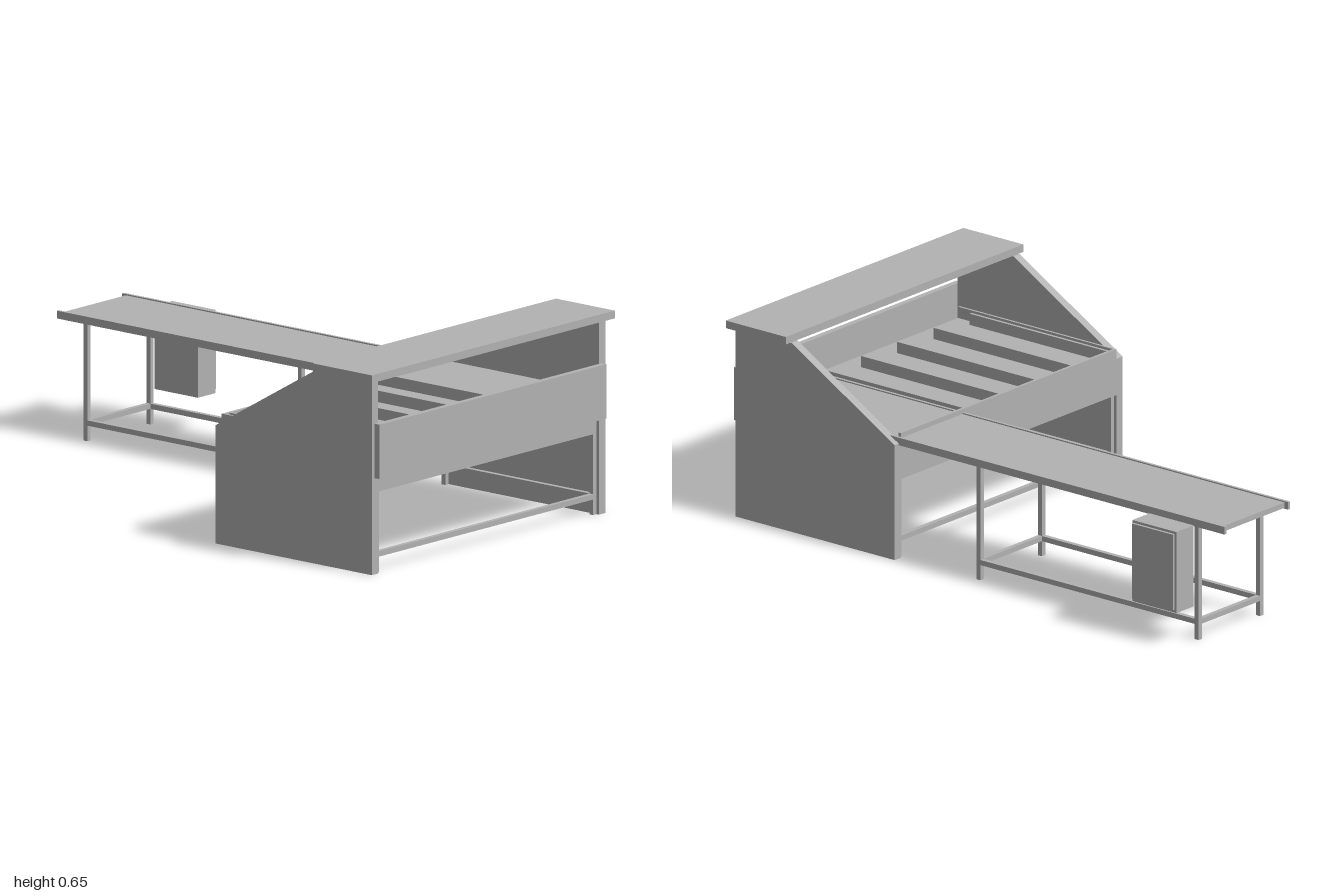
import * as THREE from 'three';

export function createModel() {
  const model = new THREE.Group();
  const grey = new THREE.MeshStandardMaterial({ color: 0xb2b2b2 });
  grey.name = 'paintedGrey';

  // Box given by its lower and upper limits on each axis
  function box(name, x0, x1, y0, y1, z0, z1, parent = model) {
    const mesh = new THREE.Mesh(new THREE.BoxGeometry(x1 - x0, y1 - y0, z1 - z0), grey);
    mesh.position.set((x0 + x1) / 2, (y0 + y1) / 2, (z0 + z1) / 2);
    mesh.name = name;
    parent.add(mesh);
  }

  // Four legs joined by a ring of low rails
  function legFrame(name, x0, x1, z0, z1, top) {
    const frame = new THREE.Group();
    frame.name = name;
    const t = 0.016;
    for (const x of [x0, x1 - t]) {
      for (const z of [z0, z1 - t]) box('leg', x, x + t, 0, top, z, z + t, frame);
      box('crossRail', x, x + t, 0.05, 0.067, z0 + t, z1 - t, frame);
    }
    for (const z of [z0, z1 - t]) box('longRail', x0 + t, x1 - t, 0.05, 0.067, z, z + t, frame);
    model.add(frame);
  }

  // Long conveyor: belt between two side rails
  box('conveyorBelt', -0.985, 0.96, 0.378, 0.396, -0.5, -0.2);
  for (const z of [-0.51, -0.2]) box('conveyorRail', -1, 0.96, 0.375, 0.4, z, z + 0.01);
  legFrame('conveyorFrame', -0.89, 0.016, -0.505, -0.19, 0.378);

  // Control cabinet with door
  box('cabinet', -0.875, -0.695, 0.11, 0.378, -0.595, -0.511);
  box('cabinetDoor', -0.868, -0.702, 0.12, 0.37, -0.604, -0.595);

  // Sloped side panels of the sorting station
  const side = new THREE.Shape();
  side.moveTo(0.33, 0);
  side.lineTo(0.98, 0);
  side.lineTo(0.98, 0.625);
  side.lineTo(0.75, 0.625);
  side.lineTo(0.33, 0.38);
  side.closePath();
  for (const z of [-0.53, 0.55]) {
    const panel = new THREE.Mesh(
      new THREE.ExtrudeGeometry(side, { depth: 0.03, bevelEnabled: false }), grey);
    panel.position.z = z;
    panel.name = 'sidePanel';
    model.add(panel);
  }

  // Top shelf and back board
  box('topShelf', 0.755, 1, 0.625, 0.65, -0.553, 0.603);
  box('backBoard', 0.98, 1, 0.31, 0.485, -0.512, 0.567);

  // Sorting tray with rim and dividers
  box('trayBed', 0.34, 0.97, 0.26, 0.375, -0.5, 0.55);
  box('trayFrontRim', 0.33, 0.34, 0.26, 0.412, -0.5, 0.55);
  box('traySideRim', 0.34, 0.97, 0.375, 0.412, 0.542, 0.55);
  for (let i = 0; i < 5; i++) {
    const z = -0.19 + i * 0.176;
    box('divider', 0.34, 0.9, 0.375, 0.412, z, z + 0.01);
  }
  legFrame('trayFrame', 0.34, 0.97, -0.5, 0.55, 0.26);

  return model;
}
